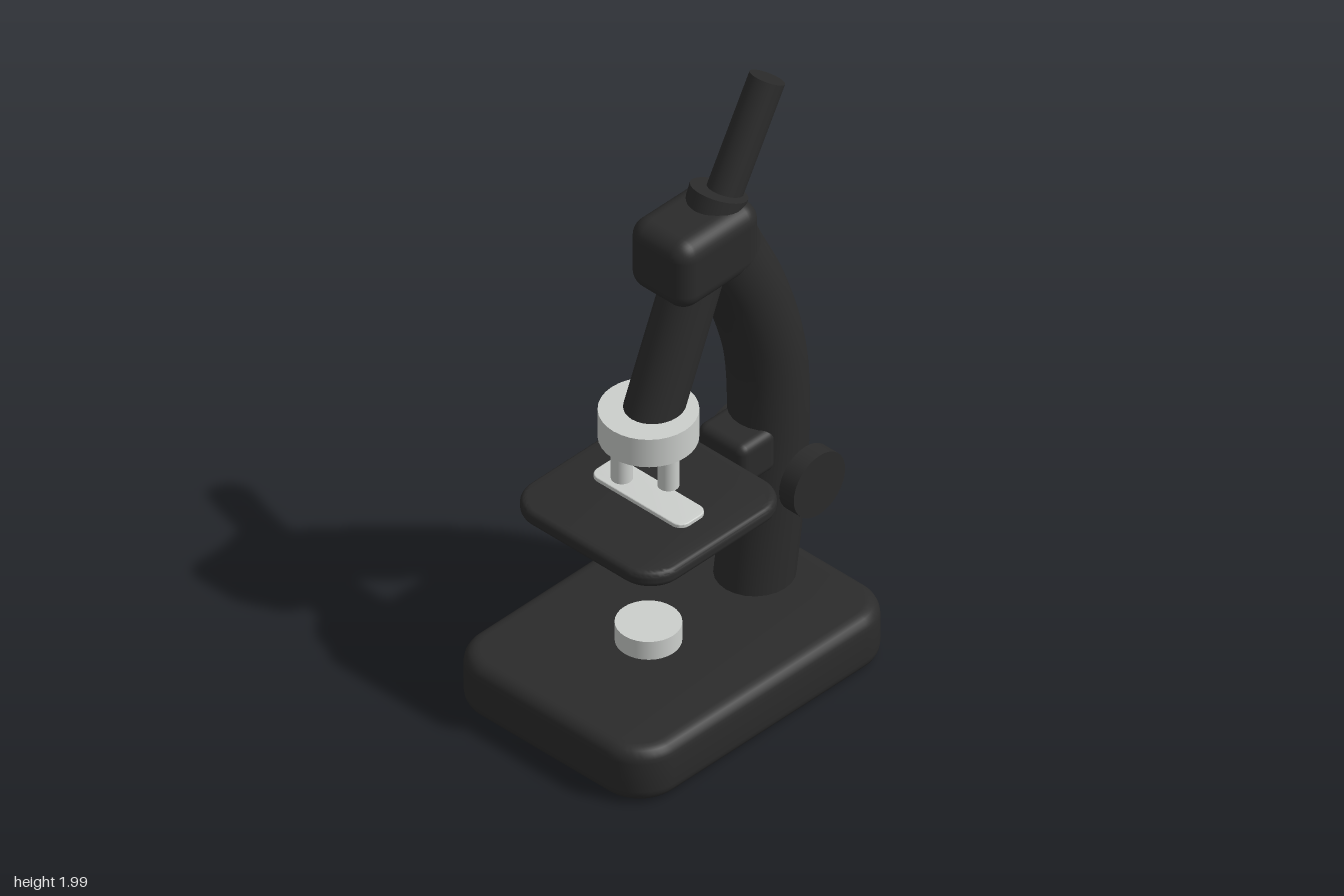
import * as THREE from 'three';
import { toCreasedNormals } from 'three/addons/utils/BufferGeometryUtils.js';
import { RoundedBoxGeometry } from 'three/addons/geometries/RoundedBoxGeometry.js';

const UP = new THREE.Vector3(0, 1, 0);

// Slab lying flat, centred on its origin, with rounded corners and soft edges
function slabGeometry(w, h, d, radius, bevel) {
  const x = w / 2 - bevel, y = d / 2 - bevel, r = radius - bevel;
  const s = new THREE.Shape();
  s.moveTo(-x + r, -y);
  s.lineTo(x - r, -y);
  s.absarc(x - r, -y + r, r, -Math.PI / 2, 0);
  s.lineTo(x, y - r);
  s.absarc(x - r, y - r, r, 0, Math.PI / 2);
  s.lineTo(-x + r, y);
  s.absarc(-x + r, y - r, r, Math.PI / 2, Math.PI);
  s.lineTo(-x, -y + r);
  s.absarc(-x + r, -y + r, r, Math.PI, Math.PI * 1.5);
  const g = new THREE.ExtrudeGeometry(s, {
    depth: h - 2 * bevel, bevelEnabled: true, bevelThickness: bevel,
    bevelSize: bevel, bevelSegments: 5, curveSegments: 10,
  });
  g.translate(0, 0, -(h - 2 * bevel) / 2);
  g.rotateX(-Math.PI / 2);
  return toCreasedNormals(g, 0.6);
}

export function createModel() {
  const group = new THREE.Group();
  const black = new THREE.MeshStandardMaterial({ color: 0x2b2b2b });
  black.name = 'black enamel';
  const silver = new THREE.MeshStandardMaterial({ color: 0xcccfcc });
  silver.name = 'silver metal';

  const add = (name, geometry, material, x, y, z) => {
    const mesh = new THREE.Mesh(geometry, material);
    mesh.name = name;
    mesh.position.set(x, y, z);
    group.add(mesh);
    return mesh;
  };
  const disc = (r, h) => new THREE.CylinderGeometry(r, r, h, 32);

  // Straight tube between two points in the middle plane, given as [y, z]
  const rod = (name, a, b, r) => {
    const p = new THREE.Vector3(0, ...a), q = new THREE.Vector3(0, ...b);
    const dir = q.clone().sub(p);
    const mid = p.clone().add(q).multiplyScalar(0.5);
    const mesh = add(name, disc(r, dir.length()), black, mid.x, mid.y, mid.z);
    mesh.quaternion.setFromUnitVectors(UP, dir.normalize());
  };

  // Base and lamp
  add('base', slabGeometry(0.79, 0.19, 1.08, 0.14, 0.045), black, 0, 0.102, 0);
  add('lamp', disc(0.098, 0.08), silver, 0, 0.222, 0.098);

  // Curved arm with a flat cap at its upper end
  const armPath = new THREE.CatmullRomCurve3([
    [0.18, -0.343], [0.5, -0.386], [0.75, -0.402], [1.0, -0.385], [1.25, -0.308], [1.465, -0.205],
  ].map(([y, z]) => new THREE.Vector3(0, y, z)));
  add('arm', new THREE.TubeGeometry(armPath, 40, 0.12, 24), black, 0, 0, 0);
  const end = armPath.getPoint(1);
  const cap = add('armCap', new THREE.CircleGeometry(0.12, 24), black, end.x, end.y, end.z);
  cap.quaternion.setFromUnitVectors(new THREE.Vector3(0, 0, 1), armPath.getTangent(1));

  // Head, body tube passing through it, and eyepiece
  add('head', new RoundedBoxGeometry(0.24, 0.242, 0.34, 5, 0.06), black, 0, 1.535, -0.095);
  rod('bodyTube', [0.99, 0.093], [1.673, -0.196], 0.088);
  rod('eyepiece', [1.62, -0.197], [1.973, -0.397], 0.055);

  // Nosepiece with three objectives
  add('nosepiece', disc(0.147, 0.1), silver, 0, 0.99, 0.098);
  for (let i = 0; i < 3; i++) {
    const a = (i * Math.PI * 2) / 3;
    add('objective', disc(0.032, 0.15), silver,
      0.08 * Math.cos(a), 0.88, 0.098 + 0.08 * Math.sin(a));
  }

  // Stage, slide and the bracket joining the stage to the arm
  add('stage', slabGeometry(0.59, 0.055, 0.588, 0.11, 0.022), black, 0, 0.696, 0.098);
  add('slide', slabGeometry(0.37, 0.02, 0.116, 0.035, 0.004), silver, 0, 0.726, 0.097);
  add('bracket', new RoundedBoxGeometry(0.19, 0.148, 0.15, 4, 0.03), black, 0, 0.696, -0.27);

  // Focus knobs
  for (const x of [-0.123, 0.181]) {
    const knob = add('focusKnob', disc(0.107, 0.059), black, x, 0.597, -0.395);
    knob.rotation.z = Math.PI / 2;
  }
  return group;
}
